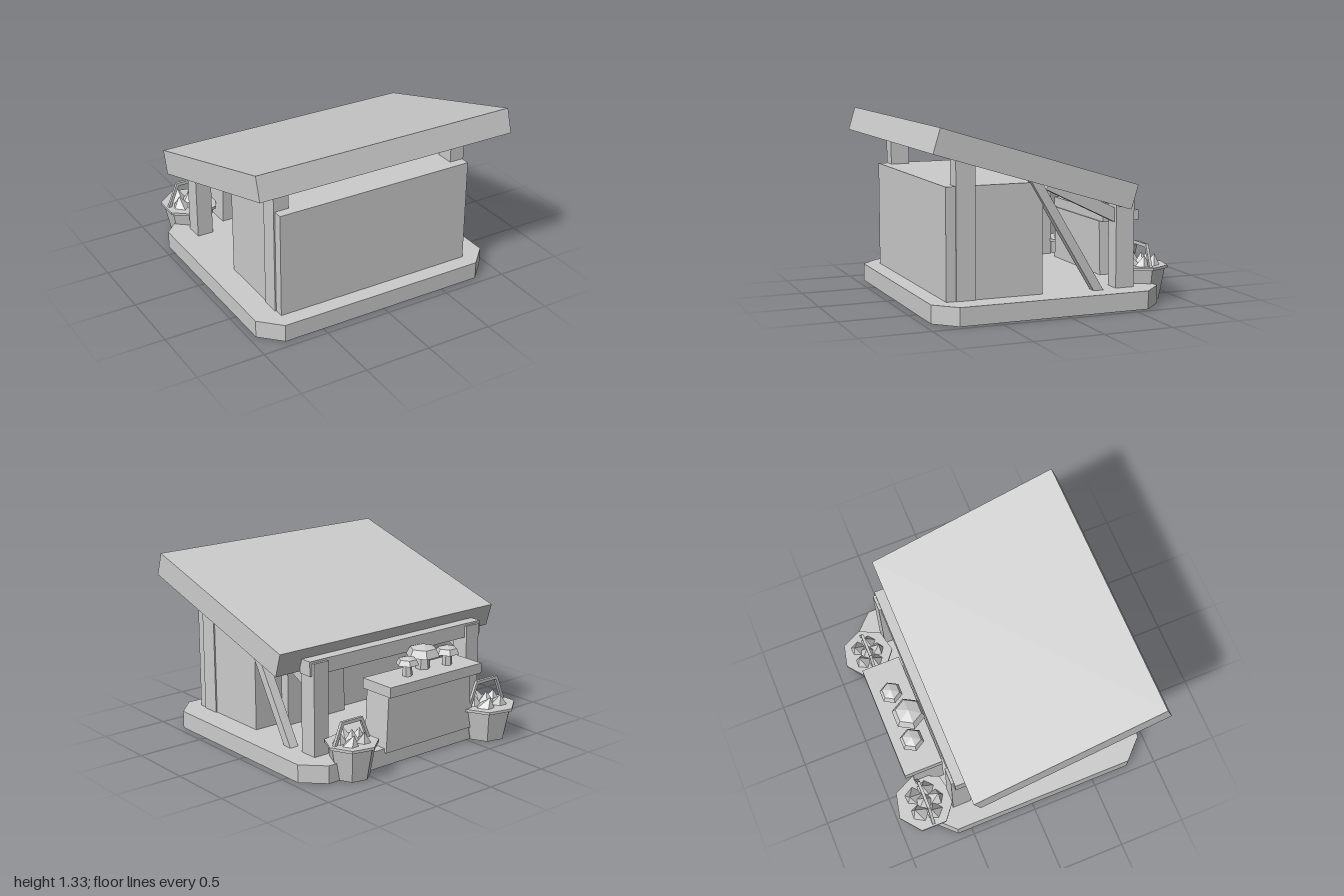
import * as THREE from 'three';

export function createModel() {
  const root = new THREE.Group();
  root.name = 'marketStall';
  const grey = new THREE.MeshStandardMaterial({ color: 0xcccccc });
  grey.name = 'plain grey';
  grey.flatShading = true;

  const add = (name, geo, parent = root) => {
    const m = new THREE.Mesh(geo, grey);
    m.name = name;
    parent.add(m);
    return m;
  };
  // box from its limits on each axis
  const box = (name, x0, x1, y0, y1, z0, z1) => {
    const m = add(name, new THREE.BoxGeometry(x1 - x0, y1 - y0, z1 - z0));
    m.position.set((x0 + x1) / 2, (y0 + y1) / 2, (z0 + z1) / 2);
  };
  // bar between two [z, y] points at a given x
  const bar = (name, x, a, b, wide, thick) => {
    const dz = a[0] - b[0], dy = a[1] - b[1];
    const m = add(name, new THREE.BoxGeometry(wide, thick, Math.hypot(dz, dy)));
    m.position.set(x, (a[1] + b[1]) / 2, (a[0] + b[0]) / 2);
    m.rotation.x = -Math.atan2(dy, dz);
  };
  const polygon = (pts) => pts.map(([x, y]) => new THREE.Vector2(x, y));
  // upright ring or plate from outlines in x and -z, between two heights
  const slab = (name, outer, inner, y0, y1) => {
    const shape = new THREE.Shape(polygon(outer));
    if (inner) shape.holes.push(new THREE.Path(polygon(inner)));
    const geo = new THREE.ExtrudeGeometry(shape, { depth: y1 - y0, bevelEnabled: false });
    geo.rotateX(-Math.PI / 2);
    add(name, geo).position.y = y0;
  };
  const rect = (x0, x1, z0, z1) => [[x0, -z1], [x1, -z1], [x1, -z0], [x0, -z0]];
  // outline with cut corners, drawn in by d
  const outline = (d) => {
    const x = 0.95 - d, f = 0.94 - d, b = 0.76 - d, c = 0.15 - d * 0.59;
    return [[c - x, -f], [x - c, -f], [x, c - f], [x, b - c], [x - c, b], [c - x, b], [-x, b - c], [-x, c - f]];
  };

  // platform: a thin top with a skirt, open underneath
  slab('platformTop', outline(0), null, 0.125, 0.13);
  slab('platformSkirt', outline(0), outline(0.006), 0, 0.126);
  // open trough hanging under the platform
  slab('troughSides', rect(-0.045, 0.505, -0.08, 0.19), rect(-0.02, 0.48, -0.055, 0.165), 0.04, 0.128);

  // sloping roof
  bar('roof', 0, [0.96, 1.242], [-0.47, 0.805], 2, 0.178);

  // closed room under the high end, with a chest against its back
  box('room', -0.765, 0.765, 0.13, 0.91, 0.115, 0.82);
  box('chest', 0, 0.53, 0.13, 0.67, 0.04, 0.13);
  box('chestLid', 0.36, 0.53, 0.67, 0.76, 0.02, 0.08);

  // posts and braces
  for (const s of [-1, 1]) {
    const px = s * 0.718;
    box('frontPost', px - 0.057, px + 0.057, 0.123, 1.15, 0.61, 0.75);
    box('backPost', px - 0.062, px + 0.062, 0.123, 0.8, -0.58, -0.44);
    bar('roofBrace', px, [0.065, 0.895], [-0.5, 0.62], 0.07, 0.09);
  }
  bar('floorBrace', 0.765, [0.225, 1.0], [-0.345, 0.05], 0.07, 0.064);
  box('backBeam', -0.81, 0.8, 0.71, 0.815, -0.56, -0.455);

  // counter, wider at the foot
  const counterGeo = new THREE.BoxGeometry(0.82, 0.43, 0.23);
  const p = counterGeo.attributes.position;
  for (let i = 0; i < p.count; i++) if (p.getY(i) > 0) p.setX(i, p.getX(i) * 0.95);
  add('counter', counterGeo).position.set(-0.107, 0.315, -0.665);
  box('counterTop', -0.545, 0.33, 0.53, 0.605, -0.85, -0.56);

  // mushrooms on the counter
  for (const [x, z, r, y] of [[-0.335, -0.71, 0.09, 0.69], [-0.145, -0.66, 0.125, 0.7], [0.058, -0.72, 0.085, 0.69]]) {
    const g = new THREE.Group();
    g.name = 'mushroom';
    g.position.set(x, 0, z);
    root.add(g);
    const stem = add('mushroomStem', new THREE.CylinderGeometry(r * 0.38, r * 0.42, y - 0.59, 6), g);
    stem.position.y = (y + 0.61) / 2;
    const h = r * 0.68;
    const profile = polygon([[0, 0.012], [r, 0], [r * 0.77, h * 0.66], [0, h]]);
    const cap = add('mushroomCap', new THREE.LatheGeometry(profile, 6), g);
    cap.position.y = y;
    cap.rotation.y = Math.PI / 6;
  }

  // baskets of pointed goods
  for (const [x, z, r, top] of [[-0.685, -0.77, 0.222, 0.44], [0.585, -0.743, 0.192, 0.41]]) {
    const g = new THREE.Group();
    g.name = 'basket';
    g.position.set(x, 0, z);
    root.add(g);
    const body = add('basketBody', new THREE.LatheGeometry(polygon([
      [0, 0], [r * 0.68, 0], [r * 0.9, 0.23], [r, 0.23], [r, 0.25], [0, 0.25]]), 7), g);
    body.rotation.y = 0.67;
    for (let i = 0; i < 6; i++) {
      const a = (i * Math.PI * 2) / 5, d = i < 5 ? r * 0.45 : 0;
      const cone = add('produce', new THREE.ConeGeometry(r * 0.36, 0.1, 5), g);
      cone.position.set(Math.sin(a) * d, i < 5 ? 0.28 : 0.29, Math.cos(a) * d);
      cone.rotation.set(Math.cos(a) * d * 2.5, a, -Math.sin(a) * d * 2.5);
    }
    // angular carrying handle
    const w = r * 0.87, n = r * 0.48, t = 0.025;
    const arch = new THREE.Shape(polygon([
      [-w, 0.23], [-w + t, 0.23], [-n + t * 0.6, top - t], [n - t * 0.6, top - t],
      [w - t, 0.23], [w, 0.23], [n, top], [-n, top]]));
    add('basketHandle', new THREE.ExtrudeGeometry(arch, { depth: 0.022, bevelEnabled: false }), g).position.z = -0.008;
  }
  return root;
}
